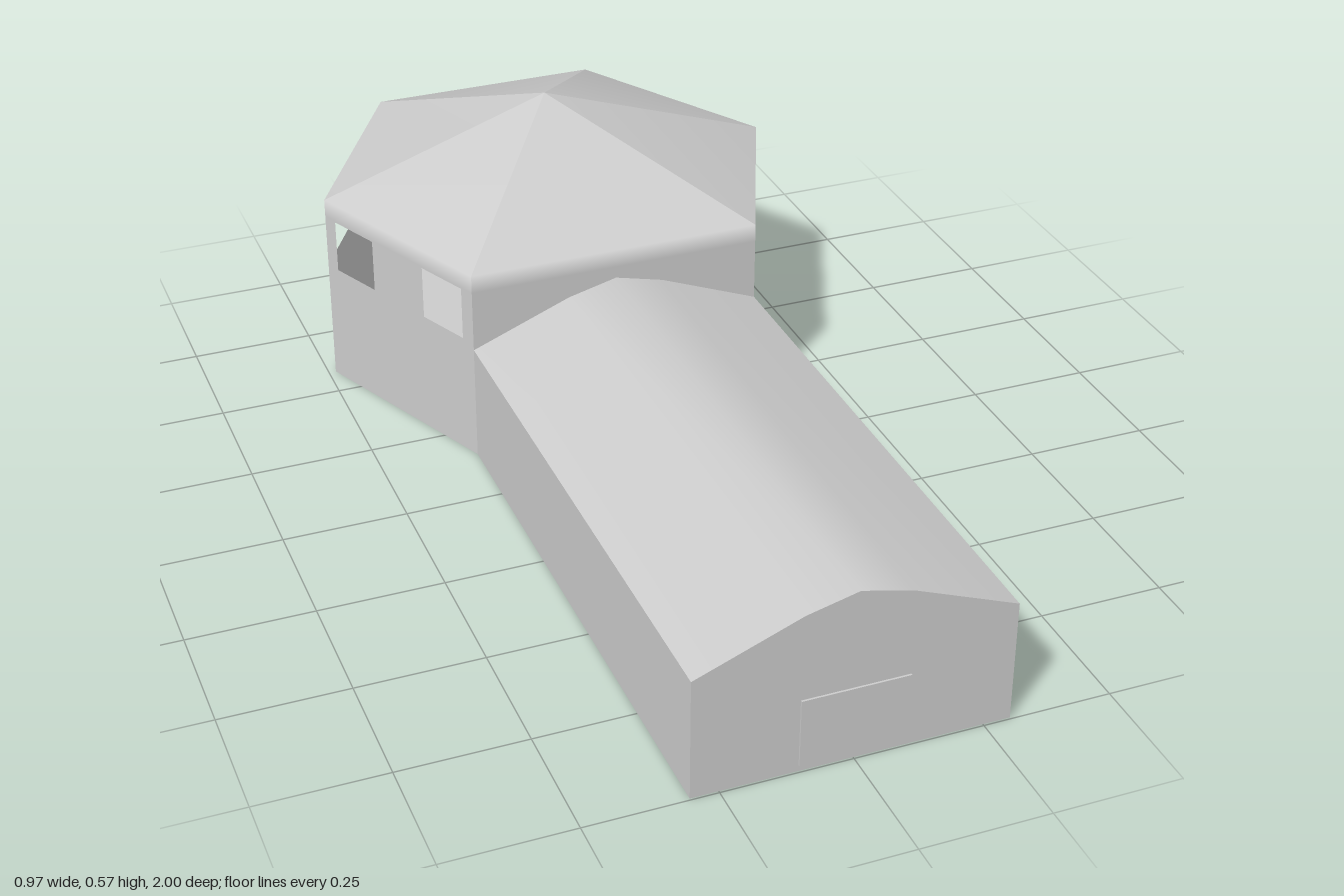
import * as THREE from 'three';
import { toCreasedNormals } from 'three/addons/utils/BufferGeometryUtils.js';

const EAVE = 0.412, WALL_TOP = 0.375, HALL_Z = -0.157;
const APEX = [0, 0.575, -0.58];
// tower corners [x, z], counter-clockwise seen from above
const CORNERS = [
  [-0.303, HALL_Z], [0.303, HALL_Z], [0.485, -0.58],
  [0.242, -1], [-0.242, -1], [-0.485, -0.58],
];

const grey = new THREE.MeshStandardMaterial({ color: 0xcccccc, side: THREE.DoubleSide });

function part(geometry, name) {
  const mesh = new THREE.Mesh(geometry, grey);
  mesh.name = name;
  return mesh;
}

// rectangle path, usable as an outline or a hole
function rect(x0, y0, x1, y1, Type = THREE.Shape) {
  return new Type([[x0, y0], [x1, y0], [x1, y1], [x0, y1]].map(p => new THREE.Vector2(...p)));
}

// one tower wall with two window openings
function towerWall(a, b, windows) {
  const dx = b[0] - a[0], dz = b[1] - a[1], width = Math.hypot(dx, dz);
  const shape = rect(0, 0, width, WALL_TOP);
  for (const [t0, t1] of windows) {
    shape.holes.push(rect(t0 * width, 0.26, t1 * width, 0.372, THREE.Path));
  }
  const wall = part(new THREE.ShapeGeometry(shape), 'towerWall');
  wall.position.set(a[0], 0, a[1]);
  wall.rotation.y = Math.atan2(-dz, dx);
  return wall;
}

// roof sector with its eave band, shaded softly over the eave
function roofSector(a, b) {
  const geometry = new THREE.BufferGeometry();
  geometry.setAttribute('position', new THREE.Float32BufferAttribute([
    a[0], WALL_TOP, a[1], b[0], WALL_TOP, b[1],
    b[0], EAVE, b[1], a[0], EAVE, a[1], ...APEX,
  ], 3));
  geometry.setIndex([0, 1, 2, 0, 2, 3, 3, 2, 4]);
  geometry.computeVertexNormals();
  return part(geometry, 'towerRoofSector');
}

export function createModel() {
  const model = new THREE.Group();
  model.name = 'building';

  // six-sided tower: the wall towards the hall has no windows
  const tower = new THREE.Group();
  tower.name = 'tower';
  CORNERS.forEach((a, i) => {
    const b = CORNERS[(i + 1) % CORNERS.length];
    tower.add(towerWall(a, b, i === 0 ? [] : [[0.07, 0.33], [0.67, 0.93]]));
    tower.add(roofSector(a, b));
  });
  const floor = part(new THREE.ShapeGeometry(
    new THREE.Shape(CORNERS.map(([x, z]) => new THREE.Vector2(x, z)))), 'towerFloor');
  floor.rotation.x = Math.PI / 2;
  tower.add(floor);
  model.add(tower);

  // long hall with a gently arched roof
  const profile = new THREE.Shape([
    [-0.303, 0], [0.303, 0], [0.303, 0.245], [0.1, 0.325],
    [0, 0.35], [-0.1, 0.325], [-0.303, 0.245],
  ].map(p => new THREE.Vector2(...p)));
  const hallGeometry = new THREE.ExtrudeGeometry(profile, { depth: 0.996 - HALL_Z, bevelEnabled: false });
  const hall = part(toCreasedNormals(hallGeometry, 0.6), 'hall');
  hall.position.z = HALL_Z;
  model.add(hall);

  // front door panel
  const door = part(new THREE.BoxGeometry(0.206, 0.138, 0.008), 'door');
  door.position.set(0, 0.082, 0.996);
  model.add(door);

  return model;
}
